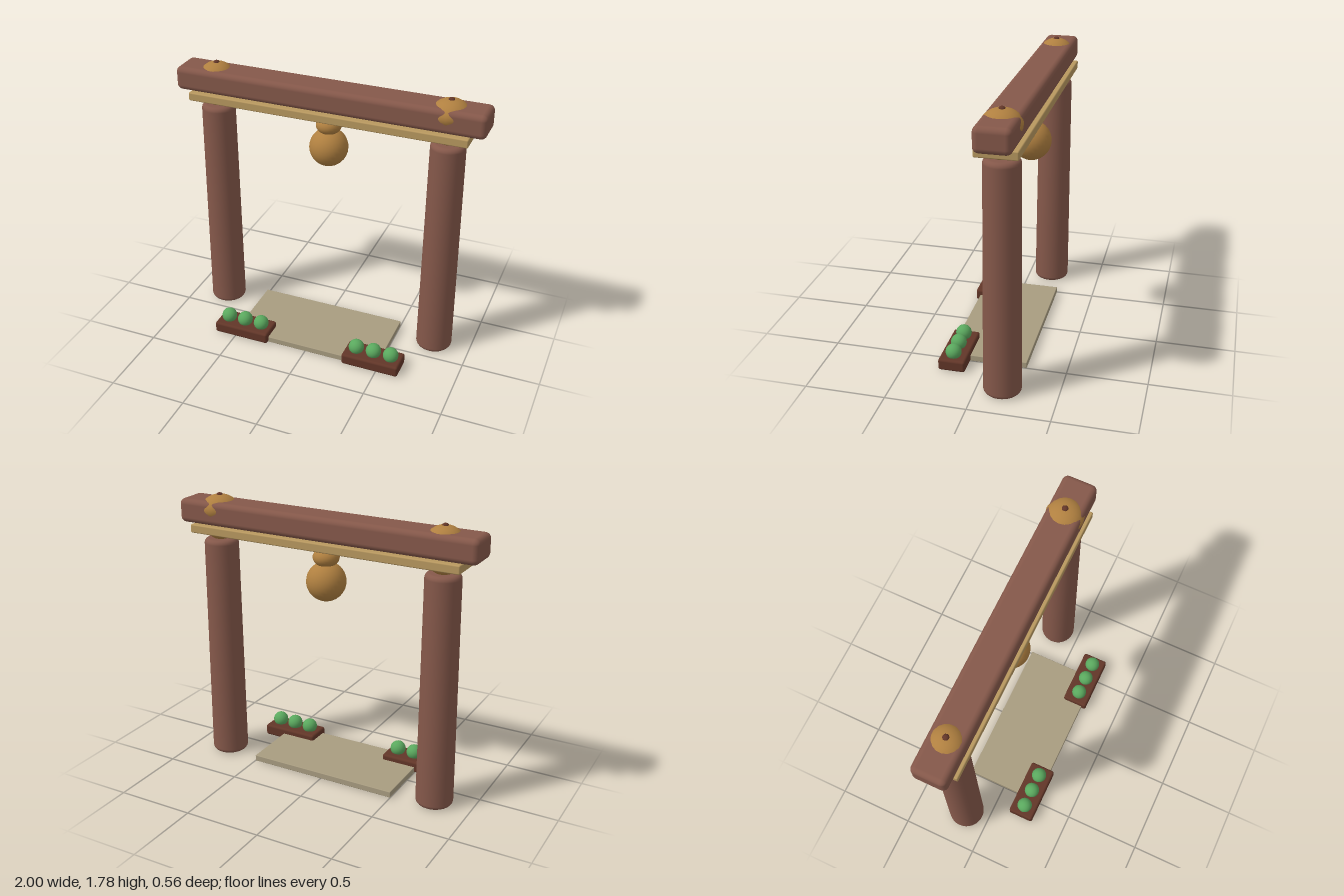
import * as THREE from 'three';
import { RoundedBoxGeometry } from 'three/addons/geometries/RoundedBoxGeometry.js';

const Z = -0.16; // plane of the gate

const mat = (color) => new THREE.MeshStandardMaterial({ color });
const wood = mat(0x85584a);
const darkWood = mat(0x623628);
const plankWood = mat(0xb8985f);
const gold = mat(0xb08040);
const stone = mat(0xa89c80);
const leaf = mat(0x5aa85e);

export function createModel() {
  const model = new THREE.Group();

  const add = (name, geometry, material, x, y, z) => {
    const mesh = new THREE.Mesh(geometry, material);
    mesh.name = name;
    mesh.position.set(x, y, z);
    model.add(mesh);
    return mesh;
  };
  const block = (name, material, [w, h, d], r, x, y, z) =>
    add(name, new RoundedBoxGeometry(w, h, d, 3, r), material, x, y, z);
  const ball = (name, material, r, ry, x, y, z, segments = 24) => {
    const mesh = add(name, new THREE.SphereGeometry(r, segments, 16), material, x, y, z);
    mesh.scale.y = ry / r;
    return mesh;
  };

  // Tapered post profile with rounded ends
  const profile = [new THREE.Vector2(0, 0)];
  const round = 0.03;
  const corner = (r, y, from) => {
    for (let i = 0; i <= 4; i++) {
      const a = from + (i / 4) * Math.PI / 2;
      profile.push(new THREE.Vector2(r - round + round * Math.cos(a), y + round * Math.sin(a)));
    }
  };
  corner(0.117, round, -Math.PI / 2);
  corner(0.108, 1.49 - round, 0);
  profile.push(new THREE.Vector2(0, 1.49));
  const postGeometry = new THREE.LatheGeometry(profile, 32);

  for (const s of [-1, 1]) {
    const side = s > 0 ? 'left' : 'right';
    const x = s * 0.76;
    add(side + 'Post', postGeometry, wood, x, 0, Z);

    // Joint under the beam, and the domed cap passing through it
    ball(side + 'Joint', gold, 0.085, 0.065, x, 1.545, Z);
    const cap = ball(side + 'Cap', gold, s > 0 ? 0.118 : 0.109, 0.087, x, 1.68, Z, 16);
    if (s < 0) cap.rotation.y = Math.PI / 16;
    ball(side + 'CapKnob', darkWood, 0.02, 0.015, x, 1.763, Z, 12);

    // Planter with three round shrubs
    block(side + 'Planter', darkWood, [0.38, 0.075, 0.17], 0.015, s * 0.455, 0.0375, 0.195);
    for (let i = -1; i <= 1; i++) {
      ball(side + 'Shrub', leaf, 0.05, 0.05, s * 0.457 + i * 0.117, 0.102, 0.197);
    }
  }

  // Lintel
  block('beam', wood, [2, 0.152, 0.217], 0.035, 0, 1.659, Z);
  block('plank', plankWood, [1.81, 0.054, 0.25], 0.008, 0, 1.557, Z);

  // Hanging bell
  ball('bellNeck', gold, 0.082, 0.06, 0, 1.47, Z);
  ball('bellBody', gold, 0.123, 0.123, 0, 1.318, Z, 32);

  // Threshold slab
  block('slab', stone, [1, 0.04, 0.5], 0.004, 0, 0.02, 0);

  return model;
}
